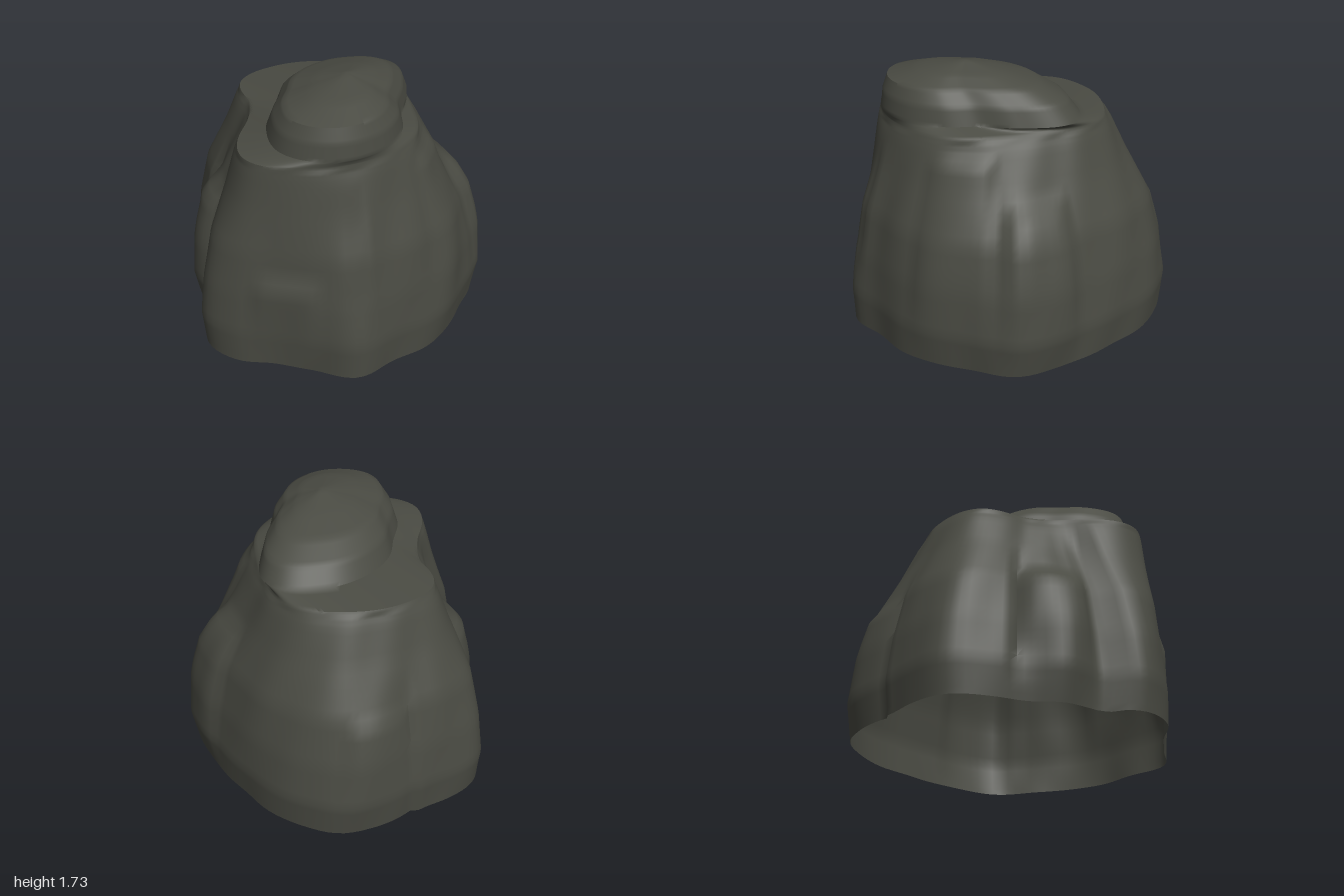
import * as THREE from 'three';
import { toCreasedNormals } from 'three/addons/utils/BufferGeometryUtils.js';

// Outline radii at even angles from +x towards +z: foot, shoulder ledge and crown
const FOOT = [.99, .99, .98, 1.04, .94, .92, .98, .99, .82, .82, .8, .88, .99, .97, .95, .99, 1.05, 1.03, .98, .95, .96, 1, 1.06, .99];
const LEDGE = [.69, .75, .79, .81, .5, .44, .6, .61, .61, .64, .58, .58];
const CROWN = [.44, .53, .61, .62, .5, .41, .44, .5, .59, .66, .48, .38];

// Body: height and blend from foot to ledge
const BODY = [[0, .06], [.22, 0], [.5, .1], [.8, .29], [1.1, .67], [1.3, .89], [1.38, 1]];
// Dome: height, scale of the crown outline, centre x and z
const DOME = [[1.42, 1, .2, .08], [1.53, .92, .22, .11], [1.62, .76, .25, .17], [1.68, .44, .28, .17], [1.73, 0, .28, .13]];

// Slabs leaning on the walls: angle, half width in degrees, top height, thickness
const SLABS = [[318, 15, 1.02, .06], [352, 16, 1.29, .04], [70, 14, .65, .04], [138, 17, .9, .06], [226, 14, .8, .03]];
// Fissures: angle, lowest y, highest y, depth, width in degrees (the sign picks the side that is cut)
const FISSURES = [[112, 0, 1.38, .06, 12], [156, .1, 1.1, .04, -16], [42, .3, 1.25, .03, 18], [212, 0, 1, .03, 16]];

const AROUND = 120, STEPS = 5;

// Smooth periodic radius of an outline
function radiusAt(radii, turn) {
  const n = radii.length, f = turn * n, i = Math.floor(f), t = f - i;
  const [a, b, c, d] = [-1, 0, 1, 2].map(k => radii[(i + k + n) % n]);
  return b + .5 * t * (c - a + t * (2 * a - 5 * b + 4 * c - d + t * (3 * (b - c) + d - a)));
}

// Relief of the walls: slabs push out, fissures cut in, with slight waviness
function reliefAt(deg, y) {
  const awayFrom = angle => (deg - angle + 540) % 360 - 180;
  const a = THREE.MathUtils.degToRad(deg);
  let relief = y < 1.35 ? .008 * Math.sin(a * 11 + y * 2) * Math.sin(y * 4 + a * 3) : 0;
  for (const [angle, half, top, thick] of SLABS) {
    const side = 1 - (awayFrom(angle) / half) ** 4;
    relief += thick * Math.max(0, Math.min(1, (top - y) / .06, y / .6)) * Math.max(0, side);
  }
  for (const [angle, low, high, depth, width] of FISSURES) {
    const away = awayFrom(angle) / width;
    if (away < 0 || away > 1) continue;
    const fade = Math.min(1, (high - y) / .25, low > 0 ? (y - low) / .25 : 1);
    relief -= depth * Math.max(0, fade) * (1 - away);
  }
  return relief;
}

// One horizontal ring of the body or the dome
function ringOf(section) {
  const [y, amount, cx = 0, cz = 0] = section;
  return Array.from({ length: AROUND }, (_, j) => {
    const turn = j / AROUND, a = turn * Math.PI * 2;
    const r = section.length > 2
      ? radiusAt(CROWN, turn) * amount
      : THREE.MathUtils.lerp(radiusAt(FOOT, turn), radiusAt(LEDGE, turn), amount);
    return new THREE.Vector3(cx + r * Math.cos(a), y, cz + r * Math.sin(a));
  });
}

function rockGeometry() {
  const rings = [...BODY, ...DOME].map(ringOf);
  const points = [], faces = [];
  const rows = (rings.length - 1) * STEPS + 1;
  for (let row = 0; row < rows; row++) {
    const i = Math.min(Math.floor(row / STEPS), rings.length - 2), t = row / STEPS - i;
    for (let j = 0; j < AROUND; j++) {
      const p = rings[i][j].clone().lerp(rings[i + 1][j], t);
      const a = j / AROUND * Math.PI * 2, relief = reliefAt(j / AROUND * 360, p.y);
      points.push(p.x + relief * Math.cos(a), p.y, p.z + relief * Math.sin(a));
    }
  }
  for (let i = 0; i < rows - 1; i++)
    for (let j = 0; j < AROUND; j++) {
      const a = i * AROUND + j, b = i * AROUND + (j + 1) % AROUND;
      faces.push(a, a + AROUND, b);
      if (i < rows - 2) faces.push(b, a + AROUND, b + AROUND);
    }
  const geometry = new THREE.BufferGeometry();
  geometry.setAttribute('position', new THREE.Float32BufferAttribute(points, 3));
  geometry.setIndex(faces);
  return toCreasedNormals(geometry, .8);
}

export function createModel() {
  const group = new THREE.Group();
  group.name = 'boulder';
  // Open underneath, so both sides show
  const stone = new THREE.MeshStandardMaterial({ color: 0x4a4b43, side: THREE.DoubleSide });
  stone.name = 'dark stone';
  const rock = new THREE.Mesh(rockGeometry(), stone);
  rock.name = 'rock';
  group.add(rock);
  return group;
}
